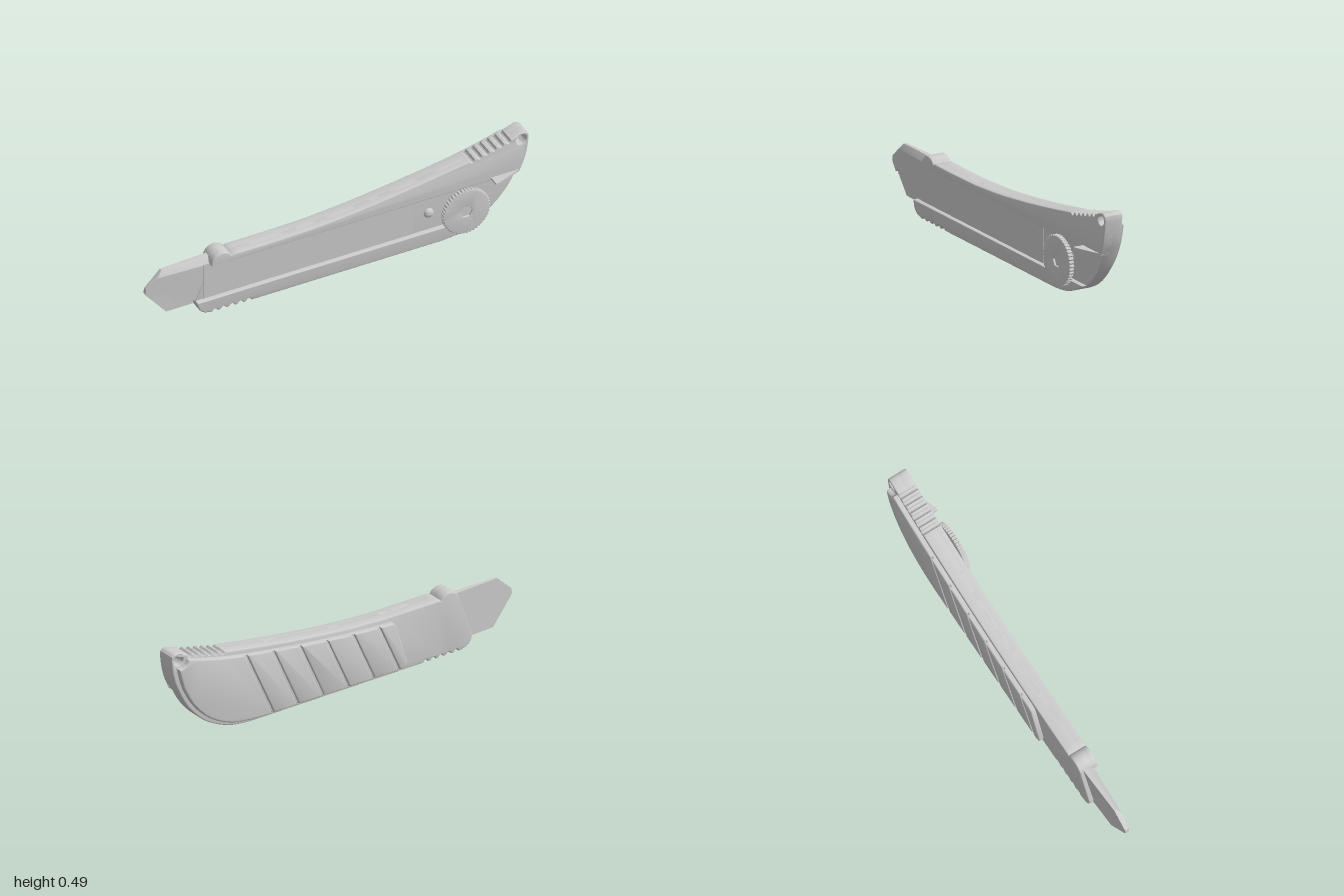
import * as THREE from 'three';
import { toCreasedNormals } from 'three/addons/utils/BufferGeometryUtils.js';

const V = (x, y) => new THREE.Vector2(x, y);

export function createModel() {
  const group = new THREE.Group();
  const material = new THREE.MeshStandardMaterial({ color: 0xcccccc });

  const add = (name, geometry, crease = 0.6) => {
    const mesh = new THREE.Mesh(toCreasedNormals(geometry, crease), material);
    mesh.name = name;
    group.add(mesh);
    return mesh;
  };

  // Flat part between z0 and z1 with rounded rims
  const plate = (points, z0, z1, bevel = 0, holes = []) => {
    const shape = new THREE.Shape(points);
    for (const h of holes) shape.holes.push(new THREE.Path(h));
    const g = new THREE.ExtrudeGeometry(shape, {
      depth: z1 - z0 - 2 * bevel, bevelEnabled: bevel > 0, bevelThickness: bevel,
      bevelSize: bevel, bevelOffset: -bevel, bevelSegments: 3, curveSegments: 16,
    });
    return g.translate(0, 0, z0 + bevel);
  };

  // Part of an outline where f(point) is positive
  const clip = (points, f) => {
    const out = [];
    points.forEach((a, i) => {
      const b = points[(i + 1) % points.length];
      const fa = f(a), fb = f(b);
      if (fa >= 0) out.push(a);
      if (fa * fb < 0) out.push(a.clone().lerp(b, fa / (fa - fb)));
    });
    return out;
  };

  const ring = (x, y, r, n) => Array.from({ length: n }, (_, i) => {
    const a = (i / n) * Math.PI * 2;
    return V(x + r * Math.cos(a), y + r * Math.sin(a));
  });

  // Thumb notches cut along a straight edge, to the left of its direction
  const notches = (a, b, count, depth) => {
    const d = b.clone().sub(a), n = V(-d.y, d.x).normalize();
    const out = [];
    for (let i = 0; i < count; i++) {
      for (const [t, h] of [[0.1, 0], [0.28, 0.8], [0.45, 1], [0.62, 0.8], [0.8, 0]]) {
        out.push(a.clone().addScaledVector(d, (i + t) / count).addScaledVector(n, h * depth));
      }
    }
    return out;
  };

  const spline = (pts, n) => new THREE.SplineCurve(pts.map(p => V(...p))).getPoints(n);

  // Handle outline, counter-clockwise from the lower left
  const outline = [
    ...spline([[-0.745, 0.07], [-0.735, 0.035], [-0.712, 0.012], [-0.68, 0.003]], 8),
    ...notches(V(-0.67, 0), V(-0.45, 0), 5, 0.014),
    ...spline([[0.55, 0], [0.67, 0.018], [0.8, 0.08], [0.9, 0.18], [0.965, 0.3],
      [0.99, 0.38], [1, 0.455]], 30),
    V(0.997, 0.473), V(0.985, 0.483), V(0.968, 0.485),
    V(0.92, 0.468),
    ...notches(V(0.91, 0.465), V(0.68, 0.409), 6, 0.014),
    ...spline([[0.67, 0.408], [0.4, 0.364], [0.1, 0.325], [-0.15, 0.305], [-0.35, 0.3], [-0.552, 0.3]], 24),
    ...Array.from({ length: 13 }, (_, i) => {
      const a = 0.5 + (i / 12) * (Math.PI - 0.5);
      return V(-0.613 + 0.057 * Math.cos(a), 0.267 + 0.057 * Math.sin(a));
    }),
  ];
  const eyelet = ring(0.96, 0.448, 0.027, 24);

  // Handle: back shell with a rail above and below the open channel
  add('handleShell', plate(outline, -0.062, 0.01, 0.006, [eyelet]));
  add('upperRail', plate(clip(outline, p => p.y - 0.265), -0.02, 0.035, 0.005, [eyelet]));
  add('lowerRail', plate(clip(outline, p => 0.075 - p.y), -0.02, 0.035, 0.005));

  // Sliding blade carrier lying in the channel
  add('bladeCarrier', new THREE.BoxGeometry(1.1, 0.2, 0.032).translate(-0.15, 0.17, -0.004));

  // Nose tapers towards the tip; the top front edge is chamfered
  const taper = g => {
    const p = g.attributes.position;
    for (let i = 0; i < p.count; i++) {
      const x = p.getX(i), t = (-0.66 - x) / 0.34;
      const back = -0.042 + 0.018 * t, front = 0.011 - 0.015 * t;
      if (p.getZ(i) > 0.9 && p.getY(i) > 0.265) {
        p.setY(i, 0.265);
        if (x < -0.8) p.setX(i, x - 0.025);
      }
      p.setZ(i, back + (front - back) * p.getZ(i));
    }
    return g;
  };
  const noseTop = [V(-0.66, 0.295), V(-0.91, 0.295), V(-0.995, 0.215), V(-1, 0.19)];
  add('blade', taper(plate([V(-0.66, 0.045), ...noseTop, V(-0.99, 0.172), V(-0.885, 0.045)], 0, 0.5)), 0.3);
  add('noseGuard', taper(plate([V(-0.66, 0.078), ...noseTop, V(-0.965, 0.145), V(-0.95, 0.16),
    V(-0.89, 0.16), V(-0.835, 0.078)], 0.5, 1)), 0.3);

  // Stop pin
  add('stopPin', new THREE.SphereGeometry(0.025, 24, 16).scale(1, 1, 0.7).translate(0.483, 0.17, 0.012));

  // Locking wheel: flared stem, knurled rim and a hexagonal socket
  const teeth = 44;
  const knurl = Array.from({ length: teeth * 4 }, (_, i) => {
    const a = (i / (teeth * 4)) * Math.PI * 2, r = i % 4 < 2 ? 0.124 : 0.119;
    return V(0.645 + r * Math.cos(a), 0.17 + r * Math.sin(a));
  });
  add('wheelBack', plate(knurl, 0.063, 0.078, 0.002));
  add('wheelFace', plate(knurl, 0.074, 0.088, 0.002, [ring(0.645, 0.17, 0.032, 6)]));
  const stem = [[0.043, 0.008], [0.036, 0.013], [0.024, 0.019], [0.017, 0.028], [0.014, 0.04], [0.014, 0.066]];
  add('wheelStem', new THREE.LatheGeometry(stem.map(p => V(...p)), 32)
    .rotateX(Math.PI / 2).translate(0.645, 0.17, 0), 1);

  // Thin triangular fin on the upper rail
  add('pocketFin', plate([V(0.8, 0.02), V(0.96, 0.02), V(0.95, 0.036), V(0.815, 0.087), V(0.8, 0.087)], 0, 0.01)
    .rotateX(Math.PI / 2).translate(0, 0.281, 0));

  // Grip pad on the back, split into slanted segments by grooves
  const pad = [
    V(-0.35, 0.05), V(-0.348, 0.033), V(-0.33, 0.022),
    ...spline([[0.55, 0.022], [0.67, 0.042], [0.79, 0.1], [0.88, 0.19], [0.942, 0.3], [0.972, 0.41]], 24),
    V(0.955, 0.412), V(0.93, 0.422), V(0.915, 0.444), V(0.895, 0.444),
    ...spline([[0.86, 0.432], [0.67, 0.386], [0.4, 0.342], [0.1, 0.303], [-0.15, 0.283], [-0.25, 0.278]], 20),
    V(-0.272, 0.274), V(-0.282, 0.26),
  ];
  add('gripBase', plate(pad, -0.077, -0.05, 0.004));
  const slant = p => p.x - 0.45 * p.y;
  for (let i = 0; i < 7; i++) {
    const lo = i === 0 ? -1 : -0.31 + 0.146 * (i - 1) + 0.007;
    const hi = i === 6 ? 2 : -0.31 + 0.146 * i - 0.007;
    const segment = clip(clip(pad, p => slant(p) - lo), p => hi - slant(p));
    add('gripSegment' + (i + 1), plate(segment, -0.088, -0.06, 0.008));
  }

  return group;
}
